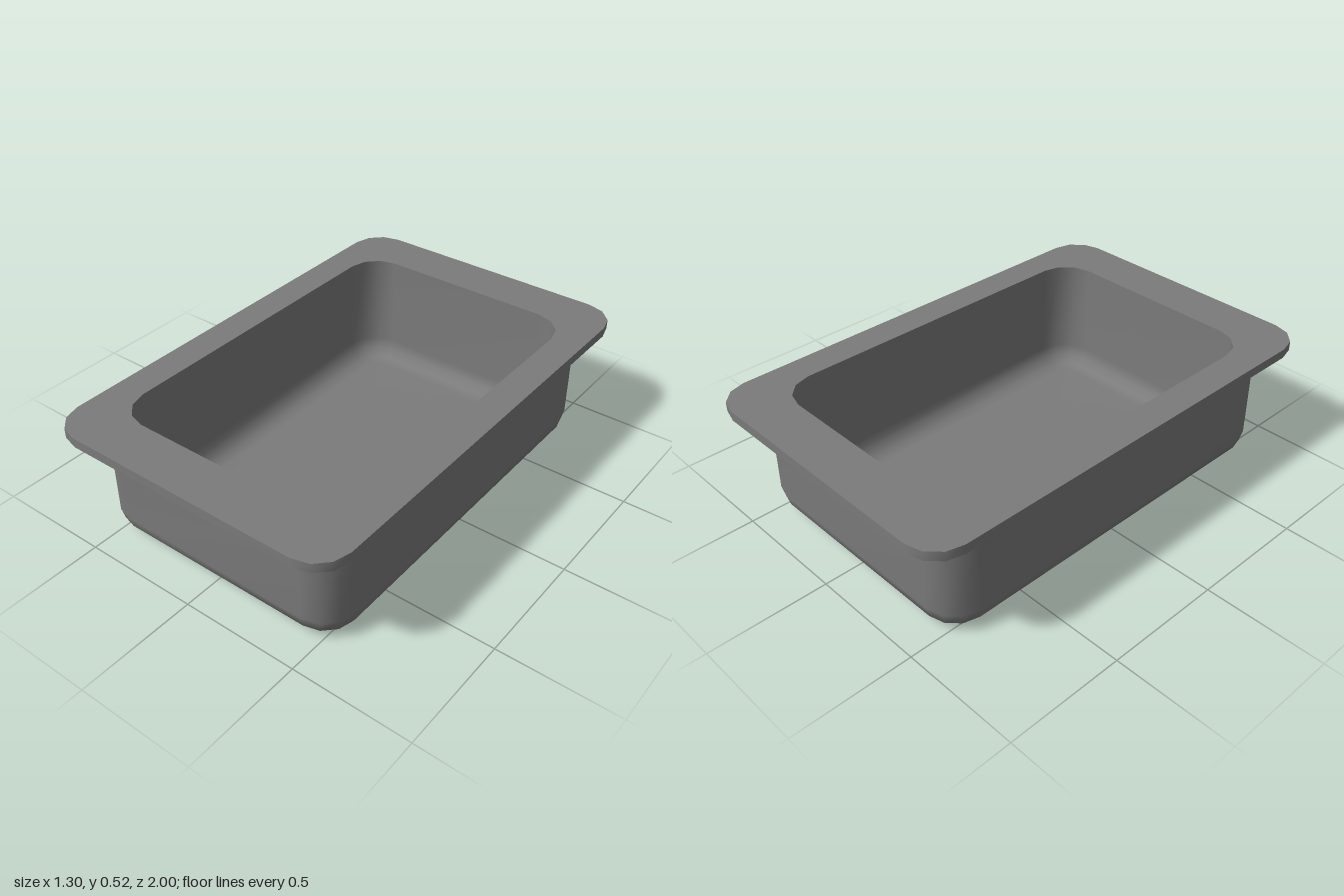
import * as THREE from 'three';

const CORNER_STEPS = 3;

// Rounded rectangle outline: half width, half depth, corner radius, height
function ring([hx, hz, r, y]) {
  const points = [];
  for (let q = 0; q < 4; q++) {
    const sx = q === 0 || q === 3 ? 1 : -1;
    const sz = q < 2 ? 1 : -1;
    for (let i = 0; i <= CORNER_STEPS; i++) {
      const a = (q + i / CORNER_STEPS) * Math.PI / 2;
      points.push([sx * (hx - r) + r * Math.cos(a), y, sz * (hz - r) + r * Math.sin(a)]);
    }
  }
  return points;
}

// Smooth skin through a list of outlines; a cap closes the first or last one
function loft(name, rings, cap) {
  const n = 4 * (CORNER_STEPS + 1);
  const positions = rings.flatMap(ring).flat();
  const index = [];
  for (let k = 0; k < rings.length - 1; k++) {
    for (let j = 0; j < n; j++) {
      const a = k * n + j, b = k * n + (j + 1) % n;
      index.push(a, a + n, b, b, a + n, b + n);
    }
  }
  if (cap) {
    const k = cap === 'start' ? 0 : rings.length - 1;
    const centre = positions.length / 3;
    positions.push(0, rings[k][3], 0);
    for (let j = 0; j < n; j++) {
      const a = k * n + j, b = k * n + (j + 1) % n;
      if (cap === 'start') index.push(centre, a, b);
      else index.push(centre, b, a);
    }
  }
  const geometry = new THREE.BufferGeometry();
  geometry.setAttribute('position', new THREE.Float32BufferAttribute(positions, 3));
  geometry.setIndex(index);
  geometry.computeVertexNormals();
  const mesh = new THREE.Mesh(geometry, new THREE.MeshStandardMaterial({ color: 0x7b7b7b }));
  mesh.name = name;
  return mesh;
}

// Quarter-round fillet rows from the floor up to the wall
function fillet(hx, hz, r, floorY, size) {
  const rows = [];
  for (let i = 0; i <= 3; i++) {
    const a = i / 3 * Math.PI / 2;
    const inset = size * (1 - Math.sin(a));
    rows.push([hx - inset, hz - inset, r - inset, floorY + size * (1 - Math.cos(a))]);
  }
  return rows;
}

export function createModel() {
  const group = new THREE.Group();
  group.name = 'tray';

  const rimBottom = 0.483, rimTop = 0.523;
  const outerLow = [0.65, 1, 0.14, rimBottom];
  const outerHigh = [0.65, 1, 0.14, rimTop];
  const opening = [0.517, 0.793, 0.14, rimTop];

  // Outer body with rounded base, flaring smoothly into the flange underside
  group.add(loft('outerBody', [
    ...fillet(0.57, 0.87, 0.14, 0, 0.095),
    [0.57, 0.87, 0.14, 0.41],
    [0.582, 0.883, 0.14, 0.445],
    [0.612, 0.92, 0.14, rimBottom],
    outerLow,
  ], 'start'));

  // Flat flange around the top
  group.add(loft('rimEdge', [outerLow, outerHigh]));
  group.add(loft('rimTop', [outerHigh, opening]));

  // Hollow inside with rounded floor
  group.add(loft('innerBasin', [
    opening,
    ...fillet(0.517, 0.793, 0.14, 0.02, 0.09).reverse(),
  ], 'end'));

  return group;
}
